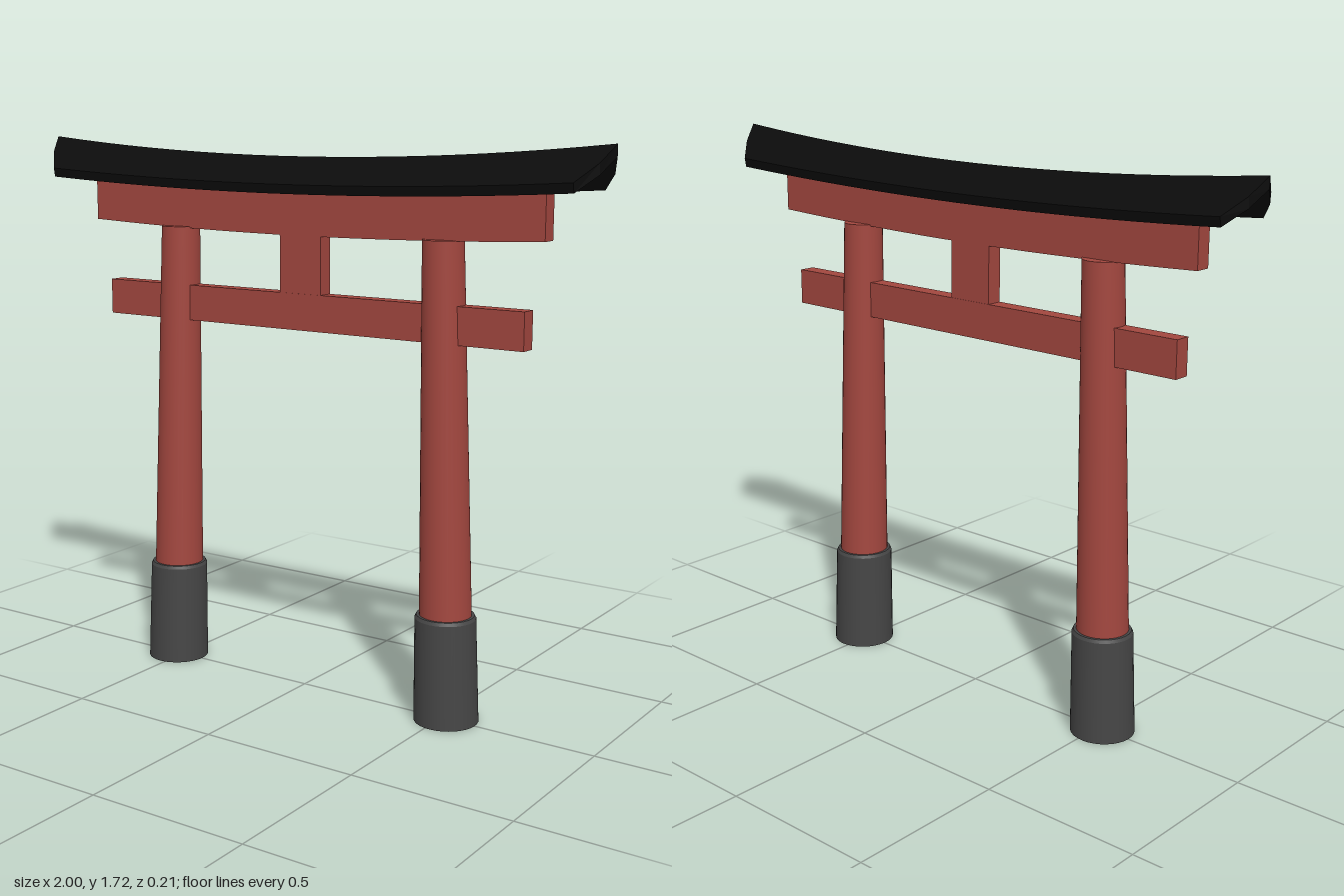
import * as THREE from 'three';

const vermilion = new THREE.MeshStandardMaterial({ color: 0xa3473f });
vermilion.name = 'vermilion wood';
const charcoal = new THREE.MeshStandardMaterial({ color: 0x464646 });
charcoal.name = 'charcoal base';
const black = new THREE.MeshStandardMaterial({ color: 0x0b0b0b });
black.name = 'black roof';

function addMesh(parent, name, geometry, material) {
  const mesh = new THREE.Mesh(geometry, material);
  mesh.name = name;
  parent.add(mesh);
  return mesh;
}

// Moves every vertex by a rule that edits the given vector.
function deform(geometry, rule) {
  const p = geometry.attributes.position;
  const v = new THREE.Vector3();
  for (let i = 0; i < p.count; i++) {
    rule(v.fromBufferAttribute(p, i));
    p.setXYZ(i, v.x, v.y, v.z);
  }
  geometry.computeBoundingSphere();
  return geometry;
}

// Pillar, its base sleeve and foot, all leaning inwards.
function makePillar(side) {
  const pillar = new THREE.Group();
  pillar.name = side > 0 ? 'leftPillar' : 'rightPillar';
  const lean = (v) => { v.x += side * (0.517 - 0.026 * v.y); };

  const shaft = new THREE.CylinderGeometry(0.061, 0.079, 1.14, 32);
  shaft.translate(0, 0.87, 0);
  addMesh(pillar, 'shaft', deform(shaft, lean), vermilion);

  const sleeve = new THREE.CylinderGeometry(0.092, 0.098, 0.32, 32, 1, true);
  sleeve.translate(0, 0.16, 0);
  addMesh(pillar, 'baseSleeve', deform(sleeve, lean), charcoal);

  const rim = new THREE.CylinderGeometry(0.087, 0.092, 0.01, 32);
  rim.translate(0, 0.325, 0);
  addMesh(pillar, 'baseRim', deform(rim, lean), charcoal);

  const foot = new THREE.CircleGeometry(0.098, 32);
  foot.rotateX(Math.PI / 2);
  addMesh(pillar, 'foot', deform(foot, lean), vermilion);
  return pillar;
}

// Upswept chevron roof lofted from cross-sections along x, with raked ends.
function makeRoof() {
  const steps = 20;
  const across = [-1, -0.5, 0, 0.5, 1];
  const section = (s) => {
    const sweep = 0.05 * s * s;
    const half = 0.088 + 0.018 * s * s;
    const point = (t, under) => {
      const a = Math.abs(t);
      const x = s * (1 - 0.075 * a ** 1.5);
      const y = under
        ? 1.63 + sweep - a * (0.073 + 0.02 * s * s)
        : 1.665 + sweep - a * (0.08 + 0.02 * s * s);
      return [x, y, t * half * (under ? 0.95 : 1)];
    };
    // Loop: over the top from back to front, then underneath to the back.
    return [
      ...across.map((t) => point(t, false)),
      ...across.slice().reverse().map((t) => point(t, true)),
    ];
  };

  const positions = [];
  const quad = (a, b, c, d) => positions.push(...a, ...b, ...c, ...a, ...c, ...d);
  const loops = [];
  for (let i = 0; i <= steps; i++) loops.push(section((2 * i) / steps - 1));
  const n = loops[0].length;
  for (let i = 0; i < steps; i++) {
    for (let j = 0; j < n; j++) {
      const k = (j + 1) % n;
      quad(loops[i][j], loops[i][k], loops[i + 1][k], loops[i + 1][j]);
    }
  }
  // Close both ends between the top and the underside.
  const first = loops[0];
  const last = loops[steps];
  for (let j = 0; j < across.length - 1; j++) {
    const u = n - 1 - j;
    quad(first[j], first[u], first[u - 1], first[j + 1]);
    quad(last[j], last[j + 1], last[u - 1], last[u]);
  }
  const geometry = new THREE.BufferGeometry();
  geometry.setAttribute('position', new THREE.Float32BufferAttribute(positions, 3));
  geometry.computeVertexNormals();
  return geometry;
}

export function createModel() {
  const gate = new THREE.Group();
  gate.name = 'gate';

  for (const side of [-1, 1]) gate.add(makePillar(side));

  // Straight tie beam through both pillars.
  addMesh(gate, 'tieBeam', new THREE.BoxGeometry(1.51, 0.112, 0.052), vermilion)
    .position.y = 1.199;

  // Short strut between the two beams.
  addMesh(gate, 'centreStrut', new THREE.BoxGeometry(0.15, 0.22, 0.05), vermilion)
    .position.y = 1.345;

  // Upper beam, curving up towards its ends.
  const lintel = new THREE.BoxGeometry(1.62, 0.13, 0.05, 16, 1, 1);
  deform(lintel, (v) => { v.y += 1.495 + 0.03 * v.x * v.x; });
  addMesh(gate, 'upperBeam', lintel, vermilion);

  addMesh(gate, 'roof', makeRoof(), black);
  return gate;
}
